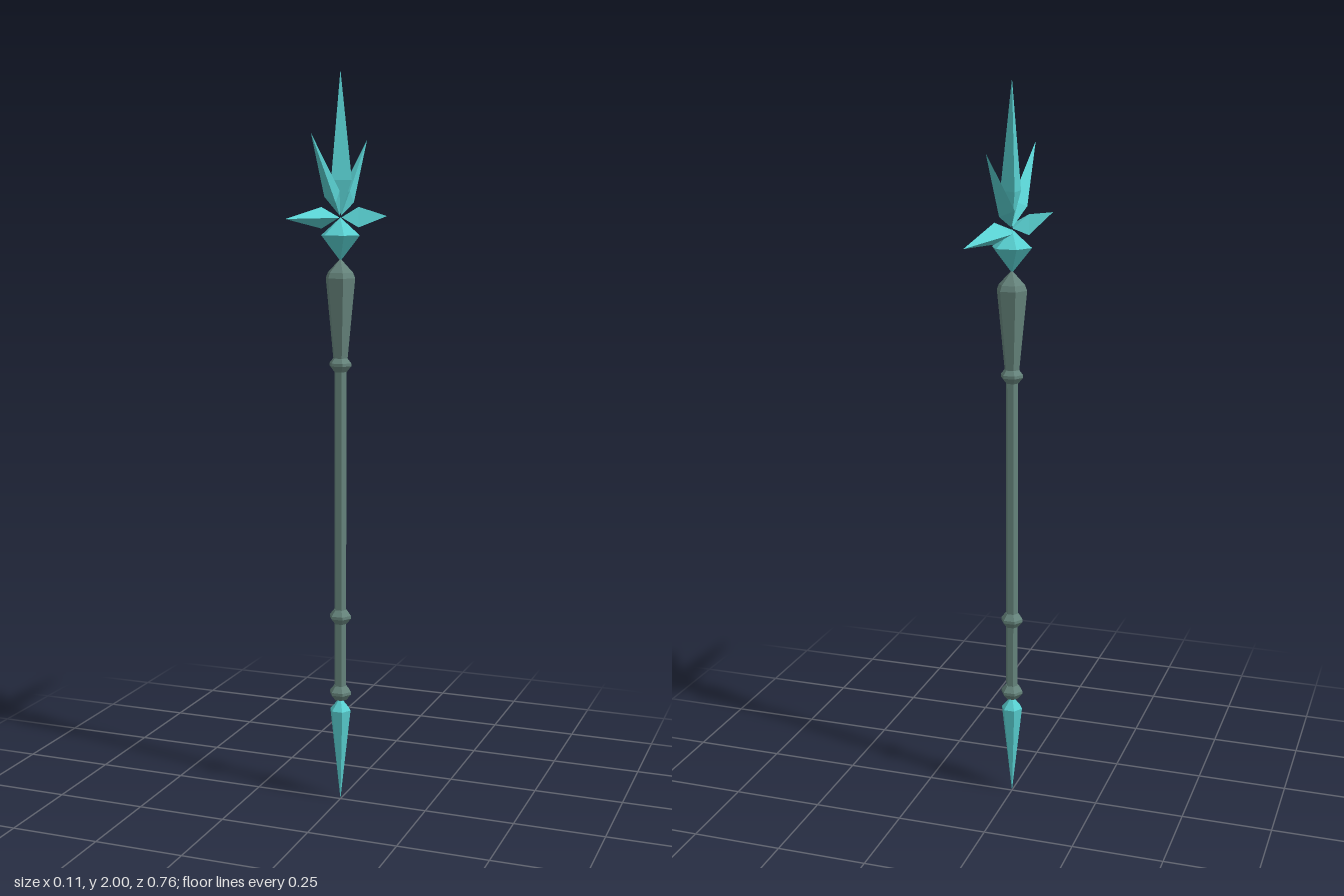
import * as THREE from 'three';

const crystal = new THREE.MeshStandardMaterial({ color: 0x58cfd0 });
crystal.name = 'turquoise crystal';
const metal = new THREE.MeshStandardMaterial({ color: 0x65837b });
metal.name = 'grey green metal';

// Faceted solid of revolution; profile is [radius, height] from bottom to top
function faceted(name, material, profile, sides = 6, start = Math.PI / 2) {
  const points = profile.map(([r, y]) => new THREE.Vector2(r, y));
  const geometry = new THREE.LatheGeometry(points, sides, start).toNonIndexed();
  geometry.computeVertexNormals();
  const mesh = new THREE.Mesh(geometry, material);
  mesh.name = name;
  return mesh;
}

export function createModel() {
  const staff = new THREE.Group();
  staff.name = 'crystalStaff';

  // Hexagonal shaft with the flared head
  staff.add(faceted('shaft', metal, [[0, 0.3], [0.017, 0.3], [0.017, 1.23], [0, 1.23]]));
  staff.add(faceted('flaredHead', metal, [[0, 1.22], [0.018, 1.22], [0.042, 1.46], [0.036, 1.475], [0, 1.512]]));

  // Collar rings
  for (const y of [0.312, 0.53, 1.229]) {
    staff.add(faceted('collarRing', metal, [
      [0, y - 0.02], [0.018, y - 0.02], [0.031, y - 0.004], [0.031, y + 0.004], [0.018, y + 0.02], [0, y + 0.02],
    ]));
  }

  // Spike at the foot and floating gem above the head
  staff.add(faceted('footSpike', crystal, [[0, 0], [0.03, 0.262], [0, 0.298]]));
  staff.add(faceted('floatingGem', crystal, [[0, 1.505], [0.055, 1.573], [0, 1.62]]));

  // Fan of three-sided shards: [tilt toward +z, scale, side of the ridge]
  const shards = [[0, 1, 1], [1, 0.78, -1], [-1, 0.78, -1], [2, 1, 1], [-2, 1, -1]];
  for (const [step, scale, ridge] of shards) {
    const shard = faceted('fanShard', crystal, [[0, 0.008], [0.032, 0.098], [0, 0.382]], 3, ridge * Math.PI / 2);
    shard.scale.setScalar(scale);
    shard.rotation.x = step * Math.PI / 4;
    shard.position.y = 1.62;
    staff.add(shard);
  }
  return staff;
}
